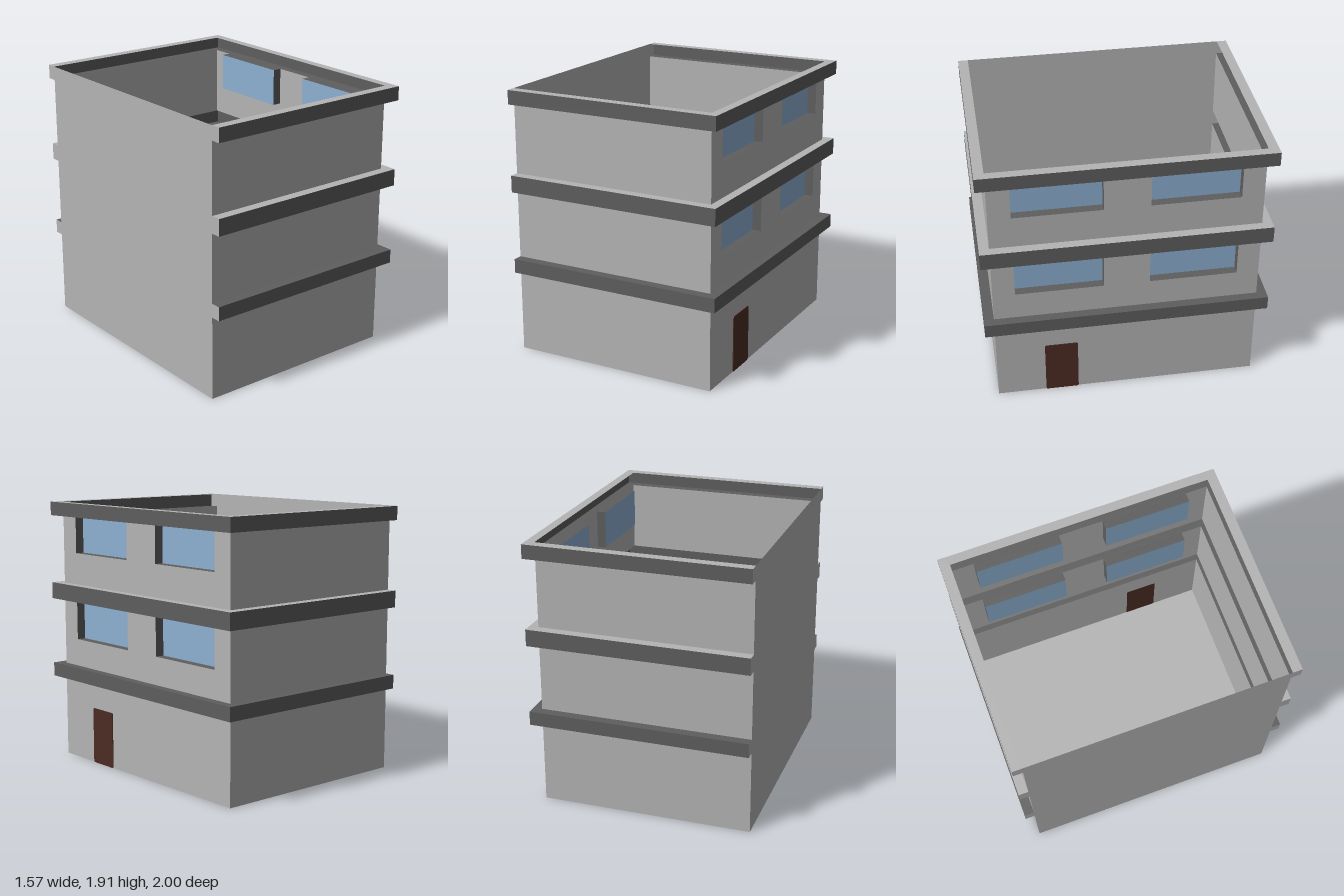
import * as THREE from 'three';

const LEFT = -0.785, WALL = 0.72, EDGE = 0.785; // x of party wall, facade, ledge edge
const WZ = 0.93, EZ = 1;                        // half depth of walls and ledges
const GLASS = 0.655, W0 = 0.16, W1 = 0.775;     // glass plane and window span
const HALF = Math.PI / 2;

function material(name, color) {
  const m = new THREE.MeshStandardMaterial({ color, side: THREE.DoubleSide });
  m.name = name;
  return m;
}

function shapeOf(points) {
  return new THREE.Shape(points.map(([x, y]) => new THREE.Vector2(x, y)));
}

export function createModel() {
  const model = new THREE.Group();
  model.name = 'building';
  const plaster = material('light plaster', 0xb4b4b4);
  const trim = material('dark trim', 0x5e5e5e);
  const glass = material('blue glass', 0x8dafd1);
  const wood = material('brown door', 0x4c2c23);

  function add(name, geometry, mat, x, y, z, parent = model) {
    const mesh = new THREE.Mesh(geometry, mat);
    mesh.name = name;
    mesh.position.set(x, y, z);
    parent.add(mesh);
    return mesh;
  }

  // Flat panels facing z, x and y
  const facingZ = (w, h) => new THREE.PlaneGeometry(w, h);
  const facingX = (d, h) => new THREE.PlaneGeometry(d, h).rotateY(HALF);
  const facingY = (w, d) => new THREE.PlaneGeometry(w, d).rotateX(-HALF);

  // Ground slab
  const wallW = WALL - LEFT, wallX = (WALL + LEFT) / 2;
  add('floor', facingY(wallW, WZ * 2), plaster, wallX, 0, 0).geometry.rotateX(Math.PI);

  // Storeys: wall bottom, wall top, ledge top, window sill
  const storeys = [
    { b: 0, t: 0.6, ledge: 0.7, sill: null, top: trim },
    { b: 0.7, t: 1.19, ledge: 1.31, sill: 0.9, top: plaster },
    { b: 1.31, t: 1.81, ledge: 1.91, sill: 1.54, top: plaster },
  ];

  storeys.forEach(({ b, t, ledge, sill, top }, i) => {
    const storey = new THREE.Group();
    storey.name = 'storey' + (i + 1);
    model.add(storey);
    const h = t - b, midY = (t + b) / 2;

    // Front and back walls
    for (const s of [1, -1]) {
      const wall = add(s > 0 ? 'frontWall' : 'backWall', facingZ(wallW, h), plaster, wallX, midY, s * WZ, storey);
      if (s < 0) wall.rotation.y = Math.PI;
    }

    // Facade with window notches open up to the ledge
    const outline = [[-WZ, b], [WZ, b], [WZ, t]];
    if (sill) {
      outline.push([W1, t], [W1, sill], [W0, sill], [W0, t],
        [-W0, t], [-W0, sill], [-W1, sill], [-W1, t]);
    }
    outline.push([-WZ, t]);
    add('facade', new THREE.ShapeGeometry(shapeOf(outline)).rotateY(HALF), plaster, WALL, 0, 0, storey);

    // Recessed windows with dark reveals
    if (sill) {
      const depth = WALL - GLASS, rx = (WALL + GLASS) / 2;
      const wh = t - sill, wy = (t + sill) / 2;
      for (const s of [1, -1]) {
        const wz = s * (W0 + W1) / 2;
        add('windowGlass', facingX(W1 - W0, wh), glass, GLASS, wy, wz, storey);
        add('windowSill', facingY(depth, W1 - W0), trim, rx, sill, wz, storey);
        add('windowHead', facingY(depth, W1 - W0), trim, rx, t, wz, storey);
        for (const z of [W0, W1]) add('windowJamb', facingZ(depth, wh), trim, rx, wy, s * z, storey);
      }
    }

    // Hollow ledge wrapping three sides
    const lh = ledge - t, ly = (ledge + t) / 2;
    for (const s of [1, -1]) {
      const face = add('ledgeSide', facingZ(EDGE - LEFT, lh), trim, (EDGE + LEFT) / 2, ly, s * EZ, storey);
      if (s < 0) face.rotation.y = Math.PI;
    }
    add('ledgeFace', facingX(EZ * 2, lh), trim, EDGE, ly, 0, storey);
    const ring = shapeOf([[LEFT, -EZ], [EDGE, -EZ], [EDGE, EZ], [LEFT, EZ],
      [LEFT, WZ], [WALL, WZ], [WALL, -WZ], [LEFT, -WZ]]);
    add('ledgeTop', new THREE.ShapeGeometry(ring).rotateX(-HALF), top, 0, ledge, 0, storey);
    add('ledgeUnderside', new THREE.ShapeGeometry(ring).rotateX(HALF), trim, 0, t, 0, storey);
  });

  // Flat party wall, stepped out to close the ledge ends
  const profile = [];
  for (const { b, t, ledge } of storeys) profile.push([WZ, b], [WZ, t], [EZ, t], [EZ, ledge]);
  const mirrored = profile.map(([z, y]) => [-z, y]).reverse();
  add('partyWall', new THREE.ShapeGeometry(shapeOf([...profile, ...mirrored])).rotateY(-HALF), plaster, LEFT, 0, 0);

  // Door plate with softened corners
  const w = 0.235, h = 0.41, r = 0.012;
  const door = new THREE.Shape();
  door.moveTo(r, 0).lineTo(w - r, 0).quadraticCurveTo(w, 0, w, r);
  door.lineTo(w, h - r).quadraticCurveTo(w, h, w - r, h);
  door.lineTo(r, h).quadraticCurveTo(0, h, 0, h - r);
  door.lineTo(0, r).quadraticCurveTo(0, 0, r, 0);
  const plate = new THREE.ExtrudeGeometry(door, { depth: 0.006, bevelEnabled: false, curveSegments: 4 });
  add('door', plate.rotateY(HALF), wood, WALL - 0.001, 0, 0.585);

  return model;
}
